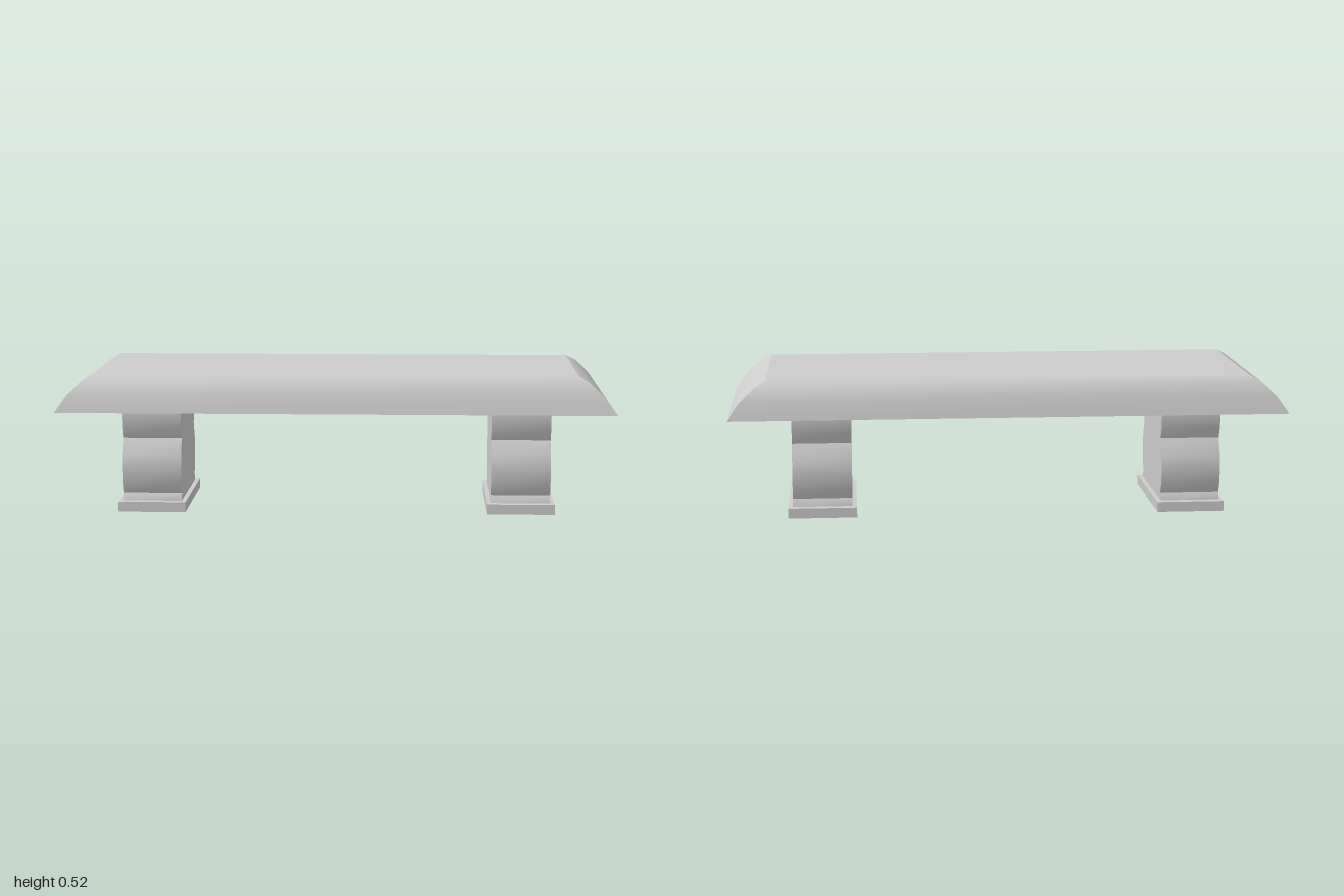
import * as THREE from 'three';
import { toCreasedNormals } from 'three/addons/utils/BufferGeometryUtils.js';

const material = new THREE.MeshStandardMaterial({ color: 0xcccccc });

// Rounded edge of the slab, bottom to top: [y, half length, half depth]
const SLAB = [[0.384, 1, 0.382], [0.446, 0.957, 0.367], [0.497, 0.901, 0.345], [0.516, 0.865, 0.317]];

// Half outline of a leg, bottom to top: [z, y]
const LEG = [
  [0.217, 0.03], [0.217, 0.036], [0.204, 0.063], [0.222, 0.103], [0.227, 0.16], [0.222, 0.203],
  [0.192, 0.265], [0.212, 0.31], [0.216, 0.355], [0.213, 0.385],
];

function add(group, name, geometry) {
  const mesh = new THREE.Mesh(geometry, material);
  mesh.name = name;
  group.add(mesh);
  return mesh;
}

// Surface joining two rows of points, left row to right row as seen from outside
function strip(left, right) {
  const positions = [], index = [];
  left.forEach((point, i) => {
    positions.push(...point, ...right[i]);
    if (i) {
      const k = 2 * i;
      index.push(k - 2, k - 1, k + 1, k - 2, k + 1, k);
    }
  });
  const geometry = new THREE.BufferGeometry();
  geometry.setAttribute('position', new THREE.Float32BufferAttribute(positions, 3));
  geometry.setIndex(index);
  geometry.computeVertexNormals();
  return geometry;
}

// Slab with four curved sides meeting at sharp mitred corners
function createSlab() {
  const slab = new THREE.Group();
  slab.name = 'seatSlab';
  const corner = (sx, sz) => SLAB.map(([y, x, z]) => [sx * x, y, sz * z]);
  const corners = [corner(1, 1), corner(1, -1), corner(-1, -1), corner(-1, 1)];
  const names = ['leftEdge', 'backEdge', 'rightEdge', 'frontEdge'];
  names.forEach((name, i) => add(slab, name, strip(corners[i], corners[(i + 1) % 4])));

  const [yTop, xTop, zTop] = SLAB[SLAB.length - 1];
  const top = add(slab, 'seatTop', new THREE.PlaneGeometry(2 * xTop, 2 * zTop).rotateX(-Math.PI / 2));
  top.position.y = yTop;
  const [yBase, xBase, zBase] = SLAB[0];
  const base = add(slab, 'seatUnderside', new THREE.PlaneGeometry(2 * xBase, 2 * zBase).rotateX(Math.PI / 2));
  base.position.y = yBase;
  return slab;
}

// Scrolled leg standing on a flat plinth
function createLeg(name, x) {
  const leg = new THREE.Group();
  leg.name = name;
  leg.position.x = x;

  const outline = [...LEG, ...LEG.map(([z, y]) => [-z, y]).reverse()];
  const shape = new THREE.Shape(outline.map(([z, y]) => new THREE.Vector2(z, y)));
  const width = 0.215;
  const body = new THREE.ExtrudeGeometry(shape, { depth: width, bevelEnabled: false });
  body.translate(0, 0, -width / 2).rotateY(Math.PI / 2);
  add(leg, 'legBody', toCreasedNormals(body, THREE.MathUtils.degToRad(40)));

  add(leg, 'plinth', new THREE.BoxGeometry(0.247, 0.036, 0.49)).position.y = 0.018;
  return leg;
}

export function createModel() {
  const bench = new THREE.Group();
  bench.name = 'bench';
  bench.add(createSlab(), createLeg('leftLeg', 0.671), createLeg('rightLeg', -0.673));
  return bench;
}
